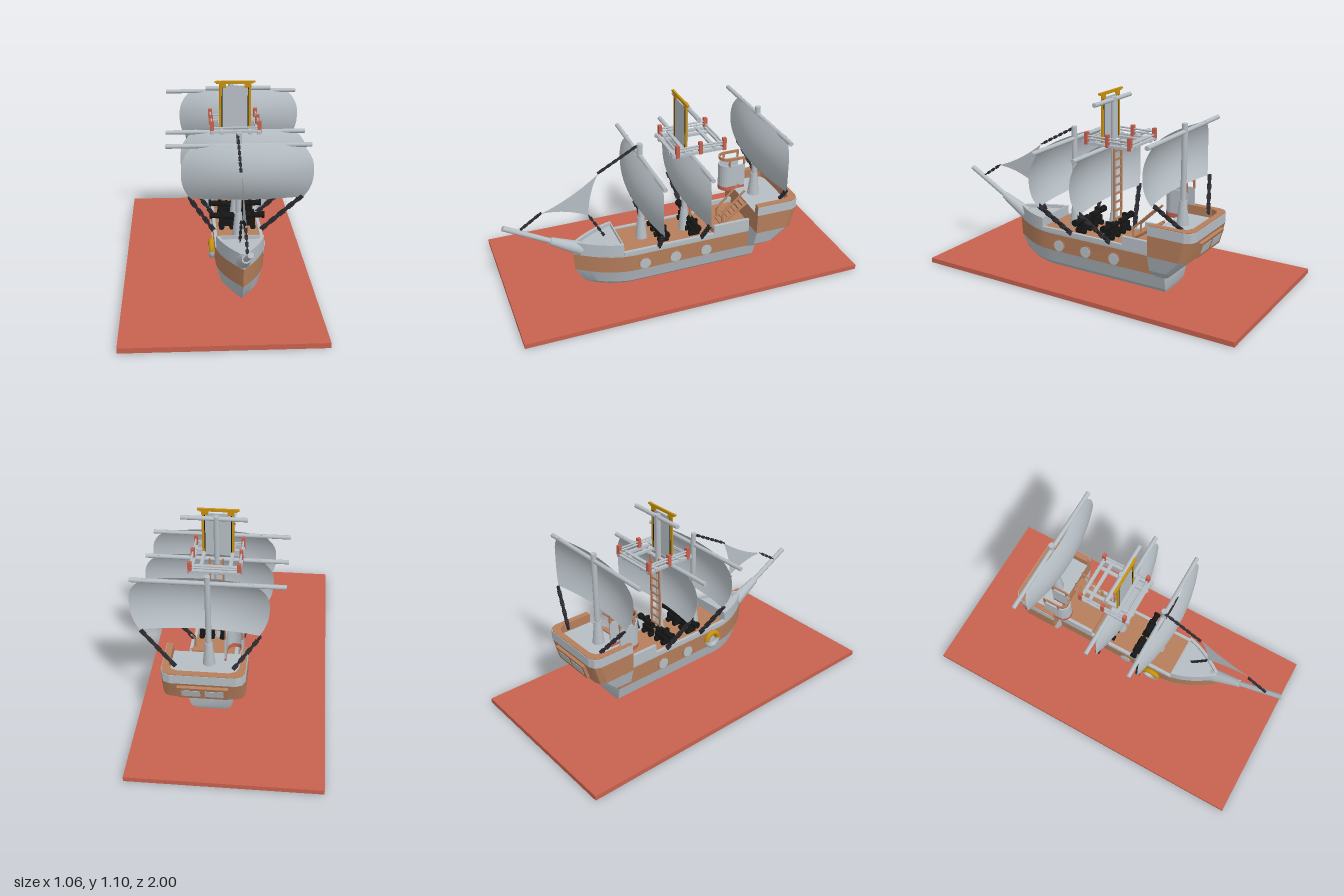
import * as THREE from 'three';
import { toCreasedNormals } from 'three/addons/utils/BufferGeometryUtils.js';

const mat = (name, color) => new THREE.MeshStandardMaterial({ name, color, side: THREE.DoubleSide });
const V = (x, y, z) => new THREE.Vector3(x, y, z);
const CX = 0.112; // ship centre line

export function createModel() {
  const grey = mat('lightGrey', 0xb6bec4), brown = mat('tanBrown', 0xb57e5b), red = mat('brickRed', 0xc8614e);
  const gold = mat('gold', 0xc8900f), black = mat('black', 0x161616), iron = mat('darkIron', 0x2b2b31);
  const root = new THREE.Group();

  const add = (name, geo, m, x = 0, y = 0, z = 0, parent = root) => {
    const mesh = new THREE.Mesh(geo, m);
    mesh.name = name;
    mesh.position.set(x, y, z);
    parent.add(mesh);
    return mesh;
  };
  const box = (name, m, w, h, d, x, y, z, parent) => add(name, new THREE.BoxGeometry(w, h, d), m, x, y, z, parent);
  // round bar between two points
  const rod = (name, m, a, b, r0, r1 = r0, parent = root) => {
    const d = b.clone().sub(a), mid = a.clone().add(b).multiplyScalar(0.5);
    const mesh = add(name, new THREE.CylinderGeometry(r1, r0, d.length(), 16), m, mid.x, mid.y, mid.z, parent);
    mesh.quaternion.setFromUnitVectors(V(0, 1, 0), d.normalize());
    return mesh;
  };
  // closed skin over stacked rings, with both ends capped
  const loft = rings => {
    const pos = [], n = rings[0].length;
    const tri = (...p) => p.forEach(q => pos.push(q.x, q.y, q.z));
    const mid = r => r.reduce((s, p) => s.add(p), V(0, 0, 0)).divideScalar(n);
    const bot = rings[0], top = rings[rings.length - 1], cb = mid(bot), ct = mid(top);
    for (let i = 0; i < n; i++) {
      const j = (i + 1) % n;
      for (let k = 0; k + 1 < rings.length; k++) {
        const lo = rings[k], up = rings[k + 1];
        tri(lo[i], lo[j], up[j]);
        tri(lo[i], up[j], up[i]);
      }
      tri(cb, bot[j], bot[i]);
      tri(ct, top[i], top[j]);
    }
    const g = new THREE.BufferGeometry();
    g.setAttribute('position', new THREE.Float32BufferAttribute(pos, 3));
    return toCreasedNormals(g, 0.4);
  };
  // plan outline in x and z, extruded down from the given top height
  const slab = (name, m, pts, top, h, hole) => {
    const s = new THREE.Shape(pts.map(p => new THREE.Vector2(p[0], p[1])));
    if (hole) s.holes.push(new THREE.Path(hole.map(p => new THREE.Vector2(p[0], p[1]))));
    const g = new THREE.ExtrudeGeometry(s, { depth: h, bevelEnabled: false });
    return add(name, g.rotateX(Math.PI / 2), m, 0, top, 0);
  };

  // base
  box('base', red, 1.05, 0.028, 2, -0.01, 0.014, 0);
  box('keelPlate', grey, 0.095, 0.002, 0.82, 0.107, 0, -0.01);

  // hull in coloured bands
  const bowSteps = [0.97, 0.88, 0.74, 0.57, 0.38, 0.18, 0];
  const hullRing = (y, hw, bow, stern) => {
    const side = bowSteps.map(s => [hw * (1 - s ** 1.8), 0.3 + (bow - 0.3) * s]);
    side.push([hw, stern]);
    return [V(CX, y, bow), ...side.map(p => V(CX + p[0], y, p[1])), ...side.reverse().map(p => V(CX - p[0], y, p[1]))];
  };
  const r = [hullRing(0.028, 0.078, 0.52, -0.44), hullRing(0.06, 0.112, 0.565, -0.455),
    hullRing(0.14, 0.133, 0.61, -0.46), hullRing(0.245, 0.137, 0.615, -0.46), hullRing(0.263, 0.138, 0.615, -0.46)];
  add('lowerHull', loft(r.slice(0, 3)), grey);
  add('hullBand', loft(r.slice(2, 4)), brown);
  add('upperHull', loft(r.slice(3)), grey);
  const bowPlan = (inset, back) => {
    const hw = 0.138 - inset, len = 0.315 - inset * 1.6;
    const s0 = (back - 0.3) / len, side = [];
    for (let i = 0; i <= 8; i++) {
      const s = s0 + (1 - s0) * i / 8;
      side.push([hw * (1 - s ** 1.8), 0.3 + len * s]);
    }
    return [...side.map(p => [CX + p[0], p[1]]), ...side.slice(0, 8).reverse().map(p => [CX - p[0], p[1]])];
  };
  slab('bowBulwark', grey, bowPlan(0, 0.355), 0.327, 0.07, bowPlan(0.018, 0.362));
  slab('bowDeck', grey, bowPlan(0.01, 0.36), 0.308, 0.05);
  box('mainDeck', brown, 0.24, 0.006, 0.76, CX, 0.266, -0.025);
  box('aftDeck', brown, 0.24, 0.03, 0.22, CX, 0.285, -0.3);
  for (const s of [-1, 1]) {
    box('waistRail', grey, 0.018, 0.02, 0.55, CX + s * 0.129, 0.267, 0.082);
    box('aftBulwark', grey, 0.018, 0.07, 0.23, CX + s * 0.129, 0.292, -0.305);
    for (const z of [0.235, 0.05, -0.14]) {
      rod('portholeRim', brown, V(CX + s * 0.13, 0.18, z), V(CX + s * 0.14, 0.18, z), 0.038);
      rod('porthole', grey, V(CX + s * 0.13, 0.18, z), V(CX + s * 0.144, 0.18, z), 0.033);
    }
  }

  // life ring
  const ring = new THREE.Group();
  ring.name = 'lifeRing';
  ring.position.set(-0.042, 0.2, 0.235);
  ring.rotation.y = Math.PI / 2;
  root.add(ring);
  add('ringTop', new THREE.TorusGeometry(0.043, 0.016, 10, 20, Math.PI), gold, 0, 0, 0, ring);
  add('ringBottom', new THREE.TorusGeometry(0.043, 0.015, 10, 20, Math.PI), grey, 0, 0, 0, ring).rotation.z = Math.PI;

  // stern castle
  const SX = 0.128;
  const sternPlan = (hw, back, c, front = -0.41) => {
    const half = [[hw, front], [hw, back + c], [hw - c * 0.3, back + c * 0.3], [hw - c, back]];
    return [...half.map(p => [SX + p[0], p[1]]), ...half.reverse().map(p => [SX - p[0], p[1]])];
  };
  const sternRing = (y, hw, back, c) => sternPlan(hw, back, c).map(p => V(p[0], y, p[1]));
  const st = [sternRing(0.14, 0.125, -0.48, 0.02), sternRing(0.2, 0.197, -0.54, 0.03),
    sternRing(0.29, 0.222, -0.64, 0.045), sternRing(0.41, 0.225, -0.675, 0.05)];
  add('sternLower', loft(st.slice(0, 3)), grey);
  add('sternBand', loft(st.slice(2)), brown);
  const uWall = (o, i) => [...sternPlan(0.225 - o, -0.675 + o, 0.05), ...sternPlan(0.225 - i, -0.675 + i, 0.05).reverse()];
  slab('sternWall', grey, uWall(0, 0.012), 0.463, 0.054);
  slab('sternRail', brown, uWall(0.003, 0.038), 0.467, 0.058);
  slab('sternDeck', grey, sternPlan(0.188, -0.638, 0.05), 0.414, 0.008);
  const win = new THREE.Group();
  win.name = 'sternWindows';
  win.position.set(SX, 0.35, -0.66);
  win.rotation.x = -0.28;
  root.add(win);
  box('windowFrame', brown, 0.27, 0.09, 0.022, 0, 0, -0.004, win);
  for (const s of [-1, 1]) box('windowPane', grey, 0.1, 0.05, 0.008, s * 0.062, 0, -0.013, win);

  // stairs with handrails
  for (let i = 0; i < 7; i++) box('stairTread', brown, 0.08, 0.008, 0.024, 0.18, 0.315 + i * 0.016, -0.25 - i * 0.023);
  for (const x of [0.14, 0.22]) {
    rod('stairSide', brown, V(x, 0.305, -0.23), V(x, 0.42, -0.4), 0.007);
    rod('handrail', brown, V(x, 0.38, -0.25), V(x, 0.51, -0.385), 0.006);
    rod('handrailPost', brown, V(x, 0.31, -0.25), V(x, 0.385, -0.25), 0.006);
  }

  // rounded lookout shell with a rail
  const uPlan = rad => {
    const p = [[-0.02 + rad, -0.475]];
    for (let i = 0; i <= 10; i++) p.push([-0.02 + rad * Math.cos(i * Math.PI / 10), -0.378 + rad * Math.sin(i * Math.PI / 10)]);
    return [...p, [-0.02 - rad, -0.475]];
  };
  const shell = [...uPlan(0.05), ...uPlan(0.042).reverse()];
  slab('lookoutShell', grey, shell, 0.57, 0.14);
  slab('lookoutFoot', red, shell, 0.432, 0.027);
  slab('lookoutRail', brown, shell, 0.62, 0.016);
  for (const [x, z] of [[0.026, -0.47], [-0.066, -0.47], [0.026, -0.378], [-0.066, -0.378]])
    box('railPost', brown, 0.008, 0.045, 0.012, x, 0.587, z);

  // bowsprit
  rod('bowspritBase', grey, V(CX, 0.275, 0.57), V(CX, 0.365, 0.74), 0.04, 0.022);
  rod('bowsprit', grey, V(CX, 0.355, 0.72), V(CX, 0.505, 0.99), 0.015);

  // masts, yards and bulging sails
  const sail = (top, z0) => {
    const g = new THREE.PlaneGeometry(2, 2, 20, 14), p = g.attributes.position;
    for (let i = 0; i < p.count; i++) {
      const u = p.getX(i), v = p.getY(i), a = 1 - u * u, b = 1 - v * v;
      const w = 0.368 - (v > 0 ? 0.085 : 0.05) * v * v * Math.abs(v) ** 0.5;
      p.setXYZ(i, 0.16 + u * w, top - 0.16 + v * 0.16, z0 + 0.035 * a + 0.025 * b + 0.03 * a * b);
    }
    g.computeVertexNormals();
    add('sail', g, grey);
  };
  for (const [z, foot, tip, top] of [[0.21, 0.265, 0.87, 0.81], [-0.055, 0.265, 1.07, 0.81], [-0.495, 0.41, 0.975, 0.943]]) {
    rod('mast', grey, V(CX, foot, z), V(CX, tip, z), 0.016);
    rod('mastFoot', grey, V(CX, foot, z), V(CX, foot + 0.14, z), 0.035, 0.02);
    rod('yard', grey, V(-0.29, top - 0.012, z), V(0.513, top - 0.012, z), 0.0125);
    sail(top, z - 0.01);
  }
  rod('topYard', grey, V(-0.06, 1.055, -0.055), V(0.308, 1.055, -0.055), 0.0125);

  // jib between the foremast and the bowsprit
  const jib = new THREE.Shape();
  jib.moveTo(0.45, 0.73).quadraticCurveTo(0.6, 0.61, 0.775, 0.55);
  jib.quadraticCurveTo(0.64, 0.55, 0.515, 0.48).quadraticCurveTo(0.51, 0.62, 0.45, 0.73);
  add('jib', new THREE.ShapeGeometry(jib).rotateY(-Math.PI / 2), grey, CX);

  // rigging chains
  const chain = (a, b, size = 1) => {
    const g = new THREE.Group(), len = a.distanceTo(b), n = Math.round(len / (0.026 * size));
    g.name = 'chain';
    g.position.copy(a);
    g.quaternion.setFromUnitVectors(V(0, 1, 0), b.clone().sub(a).normalize());
    root.add(g);
    for (let i = 0; i < n; i++) {
      const k = box('link', iron, 0.02 * size, len / n * 1.15, 0.008 * size, 0, (i + 0.5) * len / n, 0, g);
      k.rotation.y = i % 2 * Math.PI / 2;
    }
  };
  for (const s of [-1, 1]) {
    const far = s < 0 ? -0.165 : 0.468;
    chain(V(CX + s * 0.138, 0.275, 0.15), V(far, 0.495, 0.205), 1.3);
    chain(V(CX + s * 0.138, 0.275, -0.11), V(far, 0.495, -0.06), 1.3);
    chain(V(SX + s * 0.155, 0.45, -0.58), V(far, 0.625, -0.515), 1.1);
  }
  chain(V(CX - 0.007, 0.86, 0.215), V(CX - 0.007, 0.73, 0.45), 0.8);
  chain(V(CX - 0.007, 0.55, 0.775), V(CX - 0.007, 0.47, 0.895), 0.8);
  chain(V(CX - 0.007, 0.48, 0.515), V(CX - 0.007, 0.325, 0.43), 0.8);

  // crow's nest lattice with posts and rails
  const nz = -0.088;
  for (const x of [-0.028, 0.025, 0.185, 0.235]) box('nestBeam', grey, 0.02, 0.014, 0.315, x, 0.824, nz);
  for (const z of [-0.235, -0.185, -0.015, 0.055]) box('nestCrossBeam', grey, 0.285, 0.012, 0.02, 0.104, 0.83, z);
  for (const x of [-0.028, 0.24]) {
    for (const z of [0.04, -0.095, -0.235]) box('nestPost', red, 0.022, 0.07, 0.02, x, 0.852, z);
    for (const y of [0.85, 0.866]) rod('nestRail', grey, V(x, y, 0.045), V(x, y, -0.24), 0.005);
  }
  for (const z of [0.04, -0.235]) rod('nestEndRail', grey, V(-0.03, 0.85, z), V(0.24, 0.85, z), 0.005);

  // ladder behind the main mast
  for (const x of [0.075, 0.15]) box('ladderSide', brown, 0.01, 0.53, 0.01, x, 0.55, -0.08);
  for (let i = 0; i < 10; i++) box('ladderRung', brown, 0.075, 0.01, 0.01, CX, 0.32 + i * 0.05, -0.08);

  // framed banner
  box('bannerPanel', grey, 0.175, 0.255, 0.006, 0.106, 0.945, -0.03);
  for (const s of [-1, 1]) {
    box('bannerBorder', gold, 0.014, 0.27, 0.009, 0.106 + s * 0.083, 0.948, -0.03);
    box('bannerLine', black, 0.005, 0.24, 0.0095, 0.106 + s * 0.0735, 0.945, -0.03);
    box('bannerHook', gold, 0.035, 0.025, 0.009, 0.106 + s * 0.07, 1.075, -0.03);
  }
  box('bannerCap', gold, 0.21, 0.016, 0.012, 0.104, 1.094, -0.03);
  for (const s of [-1, 1]) box('bannerCapEnd', gold, 0.03, 0.01, 0.014, 0.104 + s * 0.1, 1.097, -0.03);

  // cannons facing outboard
  for (const z of [0.11, -0.08]) for (const s of [-1, 1]) {
    const at = (d, y) => V(CX + s * d, y, z);
    rod('cannonBarrel', black, at(0.02, 0.342), at(0.15, 0.348), 0.021, 0.015);
    rod('cannonMuzzle', black, at(0.142, 0.348), at(0.157, 0.348), 0.02);
    rod('cannonKnob', black, at(0.005, 0.342), at(0.02, 0.342), 0.009);
    box('cannonCarriage', black, 0.085, 0.04, 0.045, CX + s * 0.06, 0.308, z);
    box('cannonSight', black, 0.018, 0.022, 0.04, CX + s * 0.09, 0.362, z);
    for (const d of [0.03, 0.09]) rod('cannonWheels', black, V(CX + s * d, 0.284, z - 0.03), V(CX + s * d, 0.284, z + 0.03), 0.016);
  }
  return root;
}
